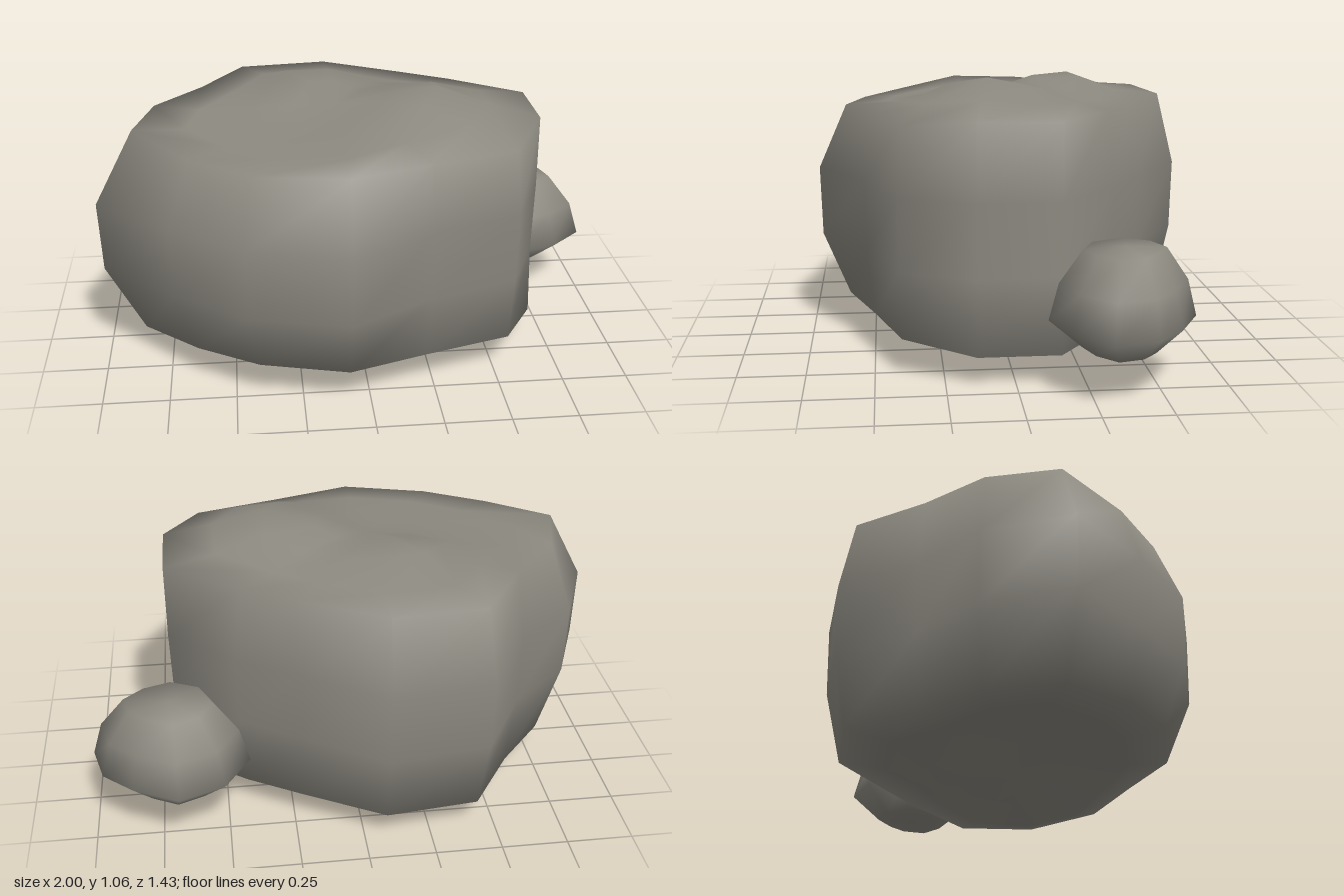
import * as THREE from 'three';

const stone = new THREE.MeshStandardMaterial({ color: 0x8c8980 });
stone.name = 'grey stone';

// Closed skin through stacked rings (bottom to top) with a pole point at each end
function loft(rings, bottom, top) {
  const n = rings[0].length;
  const points = [...rings.flat(), bottom, top];
  const index = [];
  const lo = rings.length * n, hi = lo + 1;
  const last = (rings.length - 1) * n;
  for (let j = 0; j < n; j++) {
    const k = (j + 1) % n;
    for (let i = 0; i < rings.length - 1; i++) {
      const a = i * n + j, b = i * n + k, c = a + n, d = b + n;
      index.push(a, c, b, b, c, d);
    }
    index.push(lo, j, k);
    index.push(hi, last + k, last + j);
  }
  const geo = new THREE.BufferGeometry();
  geo.setAttribute('position', new THREE.Float32BufferAttribute(points.flat(), 3));
  geo.setIndex(index);
  geo.computeVertexNormals();
  return geo;
}

function boulder() {
  const height = 1.07;
  // Widest outline: x, z
  const belt = [
    [-1, 0.16], [-0.87, -0.16], [-0.63, -0.37], [-0.46, -0.66], [-0.08, -0.72],
    [0.22, -0.52], [0.45, -0.38], [0.69, -0.16], [0.69, 0.14], [0.57, 0.41],
    [0.23, 0.53], [-0.08, 0.71], [-0.45, 0.62], [-0.72, 0.42],
  ];
  // Shoulder outline: x, z, y
  const rim = [
    [-0.85, 0.13, 0.95], [-0.78, -0.14, 0.95], [-0.6, -0.35, 0.95], [-0.43, -0.61, 0.95],
    [-0.08, -0.65, 0.95], [0.22, -0.48, 0.95], [0.42, -0.36, 0.95], [0.69, -0.16, 0.95],
    [0.69, 0.14, 0.95], [0.55, 0.4, 0.92], [0.22, 0.5, 0.92], [-0.08, 0.6, 0.92],
    [-0.41, 0.53, 0.91], [-0.64, 0.37, 0.92],
  ];
  const cx = -0.08, cz = 0;
  const bump = (x, z, px, pz, h, s) =>
    h * Math.exp(-((x - px) ** 2 + (z - pz) ** 2) / (2 * s * s));
  // Two humps with a shallow saddle between them
  const crown = (x, z) => 0.93 + bump(x, z, 0.3, 0.08, 0.14, 0.22) + bump(x, z, -0.18, -0.28, 0.11, 0.17);
  const upper = t => rim.map(([x, z, y]) => {
    const px = cx + (x - cx) * t, pz = cz + (z - cz) * t;
    return [px, t === 1 ? y : THREE.MathUtils.lerp(crown(px, pz), y, t ** 4), pz];
  });
  const caps = [1, 0.75, 0.5, 0.25].map(upper);
  // The underside mirrors the crown
  const flip = ring => ring.map(([x, y, z]) => [x, height - y, z]);
  const rings = [
    ...[...caps].reverse().map(flip),
    belt.map(([x, z]) => [x * 0.99, 0.4, z * 0.99]),
    belt.map(([x, z]) => [x, 0.67, z]),
    ...caps,
  ];
  const peak = crown(cx, cz);
  return loft(rings, [cx, height - peak, cz], [cx, peak, cz]);
}

function pebble() {
  const belt = [
    [0.41, -0.41], [0.51, -0.57], [0.68, -0.64], [0.85, -0.55], [0.96, -0.45],
    [1, -0.29], [0.87, -0.17], [0.69, -0.11], [0.5, -0.2],
  ];
  const cx = 0.7, cz = -0.38;
  // Level height and width of each ring
  const rings = [[0.15, 0.56], [0.25, 1], [0.385, 0.87], [0.505, 0.56]].map(([y, s]) =>
    belt.map(([x, z]) => [cx + (x - cx) * s, y, cz + (z - cz) * s]));
  return loft(rings, [cx, 0.145, cz], [cx, 0.515, cz]);
}

export function createModel() {
  const group = new THREE.Group();
  group.name = 'rocks';
  for (const [name, geo] of [['largeRock', boulder()], ['smallRock', pebble()]]) {
    const mesh = new THREE.Mesh(geo, stone);
    mesh.name = name;
    group.add(mesh);
  }
  return group;
}
